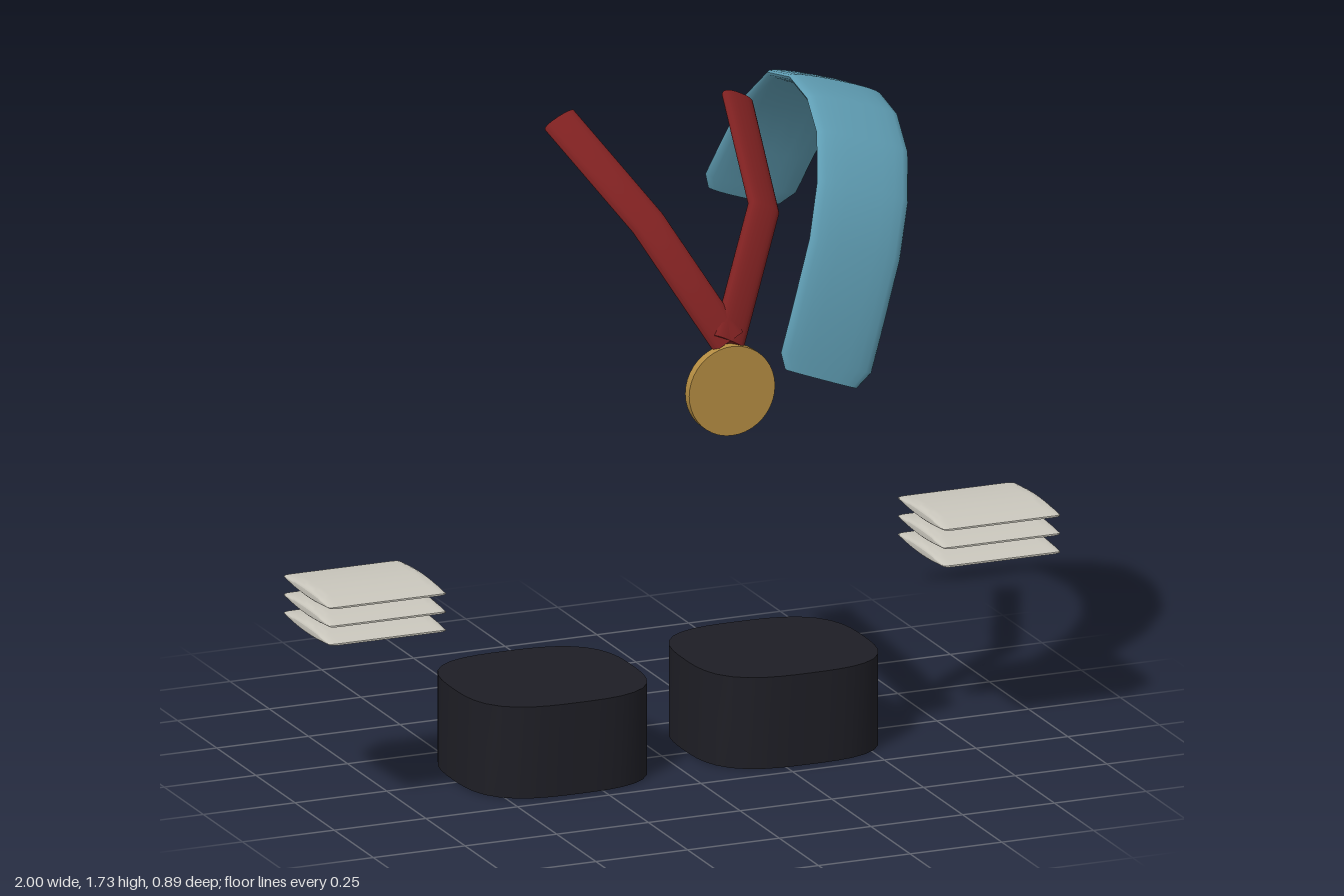
import * as THREE from 'three';
import { toCreasedNormals } from 'three/addons/utils/BufferGeometryUtils.js';

const V = (x, y, z) => new THREE.Vector3(x, y, z);
const mat = (color) => new THREE.MeshStandardMaterial({ color });

function add(parent, name, geometry, material) {
  const mesh = new THREE.Mesh(geometry, material);
  mesh.name = name;
  parent.add(mesh);
  return mesh;
}

// Rounded, flat strip swept along points; endScale narrows the first and last section
function strip(points, across, width, thick, endScale) {
  const N = 20, pos = [], idx = [], last = points.length - 1;
  const spow = (v, p) => Math.sign(v) * Math.abs(v) ** p;
  const ring = (i, s) => {
    const p = points[i];
    const dirs = [];
    if (i > 0) dirs.push(p.clone().sub(points[i - 1]).normalize());
    if (i < last) dirs.push(points[i + 1].clone().sub(p).normalize());
    const t = dirs.reduce((a, b) => a.add(b), V(0, 0, 0)).normalize();
    const w = across.clone().addScaledVector(t, -across.dot(t)).normalize();
    const n = t.clone().cross(w);
    for (let j = 0; j < N; j++) {
      const a = (j / N) * Math.PI * 2;
      const q = p.clone()
        .addScaledVector(w, spow(Math.cos(a), 0.8) * s * width / 2)
        .addScaledVector(n, spow(Math.sin(a), 0.8) * Math.min(1, s * 1.1) * thick / 2);
      pos.push(q.x, q.y, q.z);
    }
  };
  ring(0, 0);
  points.forEach((p, i) => ring(i, i === 0 || i === last ? endScale : 1));
  ring(last, 0);
  for (let i = 0; i < points.length + 1; i++) {
    for (let j = 0; j < N; j++) {
      const k = (j + 1) % N;
      const a = i * N + j, b = i * N + k, c = a + N, d = b + N;
      if (i > 0) idx.push(a, b, c);
      if (i === 0) idx.push(b, d, c);
      else if (i <= last) idx.push(b, d, c);
    }
  }
  const g = new THREE.BufferGeometry();
  g.setAttribute('position', new THREE.Float32BufferAttribute(pos, 3));
  g.setIndex(idx);
  return toCreasedNormals(g, 0.8);
}

// Upright block with a rounded-square plan
function blockGeometry() {
  const g = new THREE.CylinderGeometry(1, 1, 0.24, 40);
  const p = g.attributes.position;
  for (let i = 0; i < p.count; i++) {
    const x = p.getX(i), z = p.getZ(i);
    const r = Math.hypot(x, z);
    const k = r > 0.01 ? r / (Math.abs(x) ** 3 + Math.abs(z) ** 3) ** (1 / 3) : 0;
    p.setXYZ(i, x * k * 0.245, p.getY(i) + 0.12, z * k * 0.235);
  }
  return toCreasedNormals(g, 0.6);
}

// Thin pad, lens-shaped from the side and rounded at both ends
function padGeometry() {
  const hx = 0.1625, hy = 0.015, hz = 0.152, r = 0.022;
  const g = new THREE.BoxGeometry(2, 2, 2, 24, 2, 16);
  const p = g.attributes.position;
  for (let i = 0; i < p.count; i++) {
    const x = hx * Math.sin(p.getX(i) * Math.PI / 2);
    const v = p.getZ(i);
    const e = Math.max(0, (Math.abs(x) - hx + r) / r);
    const round = Math.sqrt(Math.max(0, 1 - e * e));
    const lens = 0.15 + 0.85 * (1 - v * v);
    p.setXYZ(i, x * (1 - 0.02 * v * v), p.getY(i) * hy * lens * (0.2 + 0.8 * round),
      v * hz * (0.95 + 0.05 * round));
  }
  return toCreasedNormals(g, 0.8);
}

export function createModel() {
  const model = new THREE.Group();
  const black = mat(0x1e1e25), cream = mat(0xc9c6bc), red = mat(0x7c2020);

  // Mirrored pairs: foot blocks, pad stacks and neck ribbon
  const block = blockGeometry(), pad = padGeometry();
  for (const s of [1, -1]) {
    const side = s > 0 ? 'left' : 'right';
    add(model, side + 'FootBlock', block, black).position.set(s * 0.315, 0, -0.025);

    const stack = new THREE.Group();
    stack.name = side + 'PadStack';
    for (let i = 0; i < 3; i++) add(stack, 'pad', pad, cream).position.y = 0.475 + i * 0.048;
    stack.position.set(s * 0.8375, 0, 0.065);
    model.add(stack);

    const path = [V(0, 1.21, 0.425), V(s * 0.158, 1.5, 0.28), V(s * 0.242, 1.675, -0.085)];
    add(model, side + 'Ribbon', strip(path, V(0.89, -0.46 * s, 0), 0.09, 0.035, 1), red);
  }

  // Medal disc
  const disc = new THREE.CylinderGeometry(0.117, 0.117, 0.026, 40).rotateX(Math.PI / 2);
  add(model, 'medal', disc, mat(0xb58d42)).position.set(0, 1.088, 0.436);

  // Leaning arched band
  const arch = [
    V(0.28, 1.06, 0.36), V(0.295, 1.1, 0.358), V(0.325, 1.2, 0.354), V(0.385, 1.38, 0.33),
    V(0.43, 1.51, 0.275), V(0.465, 1.61, 0.19), V(0.485, 1.668, 0.08), V(0.49, 1.688, -0.04),
    V(0.488, 1.665, -0.17), V(0.475, 1.575, -0.285), V(0.447, 1.43, -0.375),
    V(0.42, 1.335, -0.415), V(0.408, 1.3, -0.43),
  ];
  add(model, 'archedBand', strip(arch, V(0.95, -0.3, 0), 0.26, 0.032, 0.8), mat(0x5f9db3));

  return model;
}
